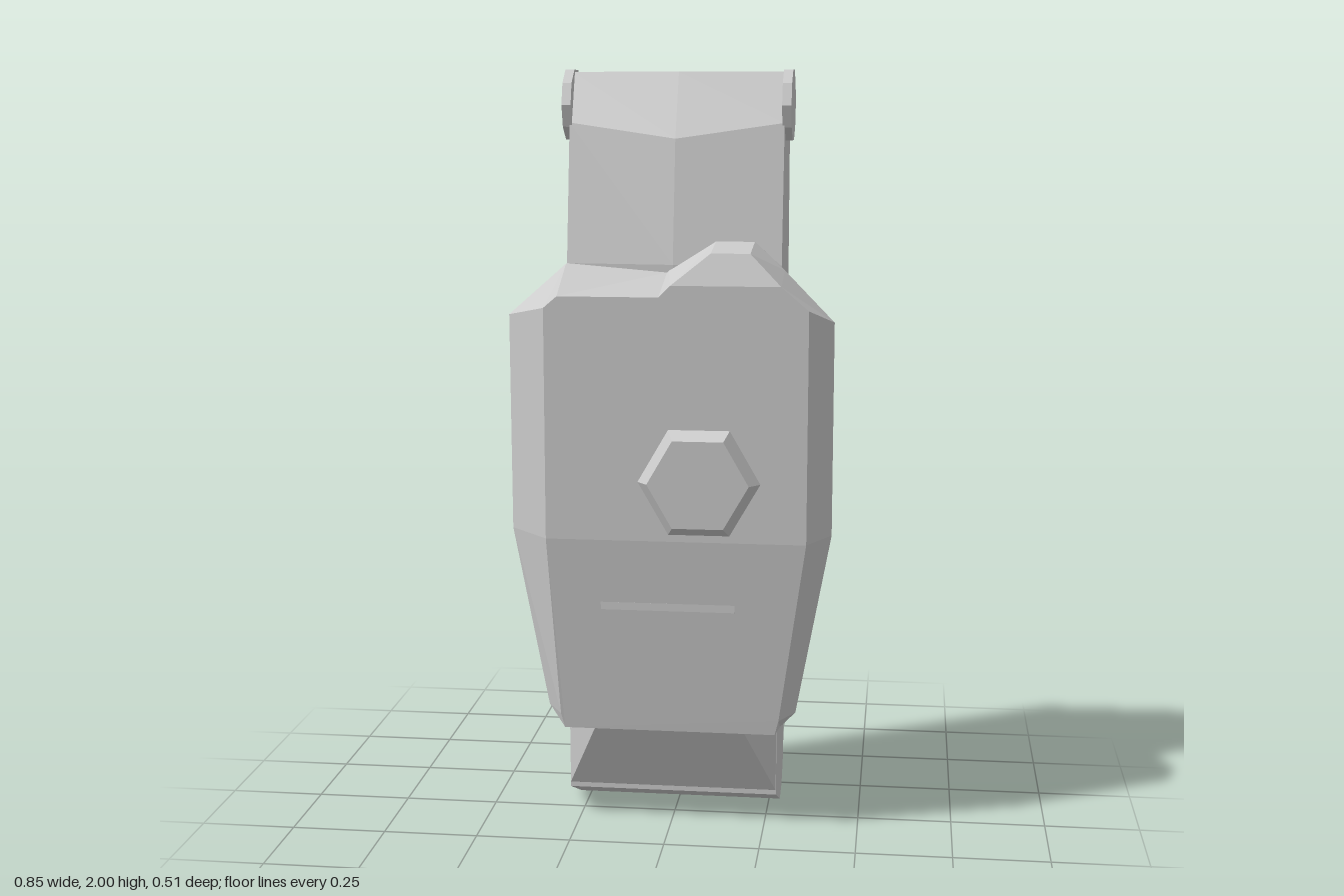
import * as THREE from 'three';

const grey = new THREE.MeshStandardMaterial({ color: 0xcccccc, flatShading: true });

function addMesh(parent, name, geometry, x = 0, y = 0, z = 0) {
  const mesh = new THREE.Mesh(geometry, grey);
  mesh.name = name;
  mesh.position.set(x, y, z);
  parent.add(mesh);
  return mesh;
}

// Joins equal-length rings of [x, y, z] points. Rings run counter-clockwise
// about the loft direction; u and v are the two axes across it.
// endFaces optionally splits the last cap into separate flat polygons.
function loft(rings, u, v, endFaces) {
  const n = rings[0].length;
  const index = [];
  for (let i = 0; i < rings.length - 1; i++) {
    for (let j = 0; j < n; j++) {
      const a = i * n + j, b = i * n + (j + 1) % n;
      index.push(a, b, b + n, a, b + n, a + n);
    }
  }
  const cap = (ring, ids, base, flip) => {
    const outline = ids.map(k => new THREE.Vector2(ring[k][u], ring[k][v]));
    for (const t of THREE.ShapeUtils.triangulateShape(outline, [])) {
      const tri = t.map(k => base + ids[k]);
      index.push(...(flip ? tri.reverse() : tri));
    }
  };
  const all = rings[0].map((_, k) => k);
  cap(rings[0], all, 0, true);
  const last = rings.length - 1;
  for (const ids of endFaces || [all]) cap(rings[last], ids, last * n, false);
  let geometry = new THREE.BufferGeometry();
  geometry.setAttribute('position', new THREE.Float32BufferAttribute(rings.flat(2), 3));
  geometry.setIndex(index);
  geometry = geometry.toNonIndexed();
  geometry.computeVertexNormals();
  return geometry;
}

export function createModel() {
  const model = new THREE.Group();
  model.name = 'model';

  // Main body: side profile as [z, y], with a slight ridge down the middle
  const profile = [
    [-0.12, 0], [-0.19, 0.02], [-0.24, 0.08], [-0.255, 0.16], [-0.255, 1.85],
    [-0.23, 1.92], [-0.085, 1.99], [-0.03, 1.86], [0.03, 1.5], [0.05, 0.075],
  ];
  const ridge = profile.map(p => [...p]);
  ridge[7] = [-0.005, 1.82];
  ridge[8] = [0.05, 1.5];
  const section = (points, x) => points.map(([z, y]) => [x, y, z]);
  addMesh(model, 'body', loft(
    [section(profile, -0.28), section(ridge, 0), section(profile, 0.28)], 1, 2));

  // Front plate: each row holds a rim point and its front-face point
  const rows = [
    [-0.29, 0.27, 0.06, -0.28, 0.27, 0.13],
    [0.29, 0.27, 0.06, 0.28, 0.27, 0.13],
    [0.33, 0.31, 0.055, 0.29, 0.31, 0.135],
    [0.42, 0.8, 0.07, 0.36, 0.8, 0.19],
    [0.42, 1.36, 0.08, 0.36, 1.4, 0.19],
    [0.29, 1.49, 0.06, 0.29, 1.46, 0.19],
    [0.21, 1.56, 0.02, 0.21, 1.54, 0.165],
    [0.11, 1.56, 0.03, 0.11, 1.54, 0.165],
    [-0.01, 1.485, 0.05, 0.01, 1.46, 0.19],
    [-0.015, 1.48, 0.05, -0.02, 1.43, 0.19],
    [-0.28, 1.5, 0.045, -0.28, 1.43, 0.19],
    [-0.425, 1.37, 0.08, -0.315, 1.4, 0.19],
    [-0.425, 0.8, 0.07, -0.315, 0.8, 0.19],
    [-0.335, 0.31, 0.055, -0.29, 0.31, 0.135],
  ];
  const back = rows.map(r => [r[0] * 0.99, r[1], r[2] - 0.022]);
  const rim = rows.map(r => r.slice(0, 3));
  const front = rows.map(r => r.slice(3));
  addMesh(model, 'frontPlate', loft([back, rim, front], 0, 1, [
    [0, 1, 2, 3, 12, 13], [12, 3, 4, 5, 8, 9, 10, 11], [8, 5, 6, 7],
  ]));

  // Thin raised strip across the lower plate
  addMesh(model, 'strip', new THREE.BoxGeometry(0.35, 0.02, 0.012), 0, 0.62, 0.165);

  // Chin sloping from the plate down to the body
  const chin = (x, topX, topZ) => [
    [x, 0.08, 0.03], [x, 0.27, 0.03], [topX, 0.27, topZ], [x, 0.09, 0.055],
  ];
  addMesh(model, 'chin', loft([
    chin(-0.279, -0.279, 0.06), chin(-0.279, -0.2, 0.13),
    chin(0.279, 0.2, 0.13), chin(0.279, 0.279, 0.06),
  ], 1, 2));

  // Hexagonal knob: stem and bevelled head
  const knob = new THREE.Group();
  knob.name = 'knob';
  knob.position.set(0.087, 0.962, 0);
  model.add(knob);
  const hex = (name, rFront, rBack, depth, z) => {
    const geometry = new THREE.CylinderGeometry(rFront, rBack, depth, 6);
    geometry.rotateY(Math.PI / 2).rotateX(Math.PI / 2);
    addMesh(knob, name, geometry, 0, 0, z);
  };
  hex('knobStem', 0.138, 0.138, 0.045, 0.2);
  hex('knobHead', 0.13, 0.157, 0.033, 0.2385);

  // End discs of the top hinge, and small side catches
  for (const side of [-1, 1]) {
    const disc = new THREE.CylinderGeometry(0.095, 0.095, 0.024, 10).rotateZ(Math.PI / 2);
    addMesh(model, side > 0 ? 'leftHingeDisc' : 'rightHingeDisc', disc, side * 0.286, 1.905, -0.107);
    const wedge = new THREE.CylinderGeometry(0.055, 0.1, 0.06, 4, 1).rotateY(Math.PI / 4);
    wedge.rotateX(Math.PI / 2).scale(0.12, 1, 1).rotateY(Math.PI);
    addMesh(model, side > 0 ? 'leftCatch' : 'rightCatch', wedge, side * 0.282, 1.025, 0.015);
  }
  return model;
}
